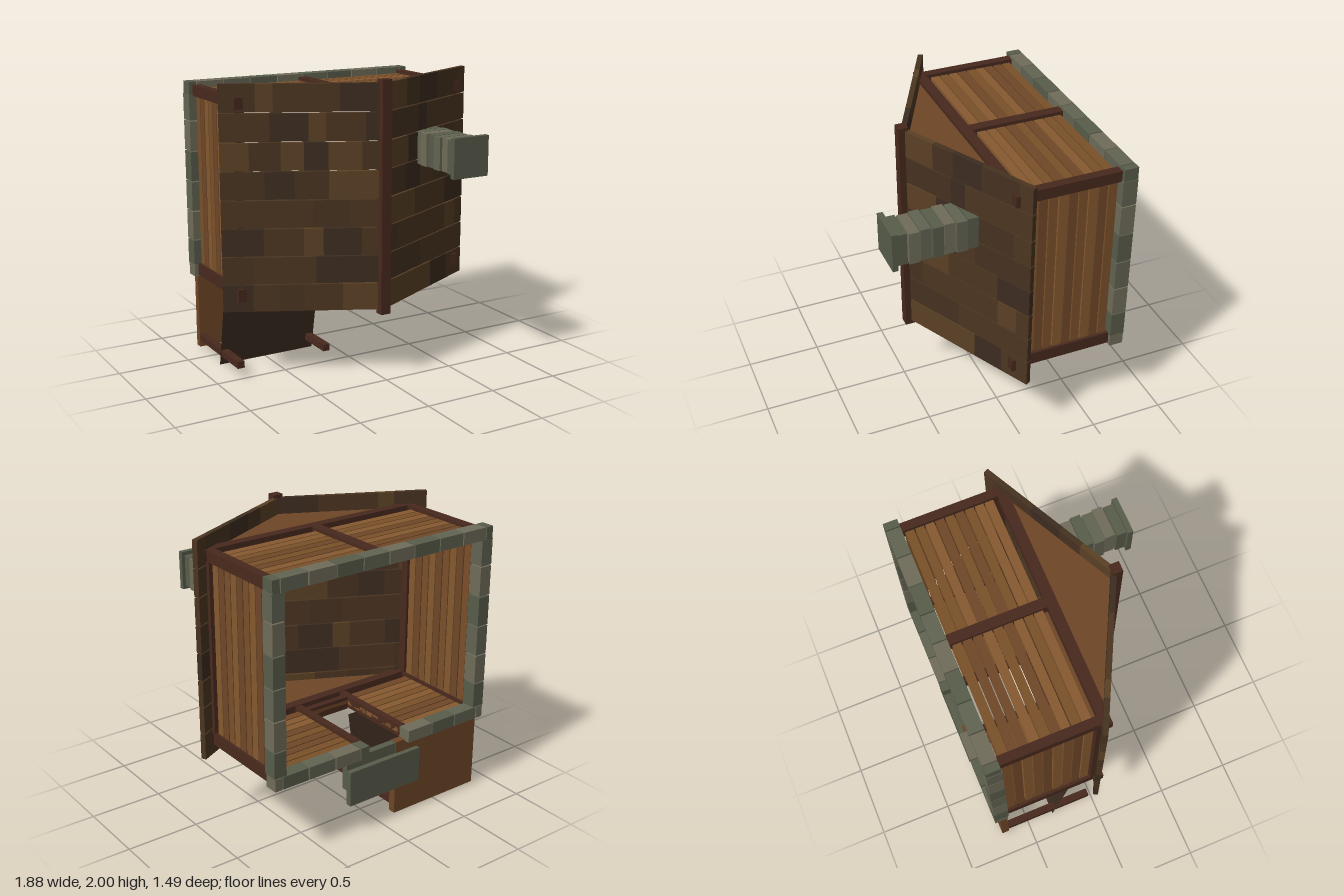
import * as THREE from 'three';

const BEAM = 0x48291d, FLOOR = 0x6e4626, DARK = 0x3c2b20;
const WOOD = [0x85592f, 0x6f4727, 0x7a5029];
const ROOF = [0x3c2c20, 0x4b3520, 0x5a4024, 0x463220];
const STONE = [0x585c4a, 0x6f6c59, 0x626452];

const mats = new Map();
function mat(color) {
  if (!mats.has(color)) mats.set(color, new THREE.MeshStandardMaterial({ color, flatShading: true }));
  return mats.get(color);
}

// Box given by its limits on each axis
function box(parent, name, color, x0, x1, y0, y1, z0, z1) {
  const mesh = new THREE.Mesh(new THREE.BoxGeometry(x1 - x0, y1 - y0, z1 - z0), mat(color));
  mesh.position.set((x0 + x1) / 2, (y0 + y1) / 2, (z0 + z1) / 2);
  mesh.name = name;
  parent.add(mesh);
  return mesh;
}

function group(parent, name) {
  const g = new THREE.Group();
  g.name = name;
  parent.add(g);
  return g;
}

function seeded(seed) {
  return () => (seed = (seed * 16807) % 2147483647) / 2147483647;
}

export function createModel() {
  const model = new THREE.Group();
  model.name = 'cabin';
  const rnd = seeded(4711);
  const pick = (list) => list[Math.floor(rnd() * list.length)];

  // Roof: two slopes of eight plank rows, each row made of short pieces
  const pitch = Math.atan(0.5), slopeLength = 1.051;
  for (const side of [1, -1]) {
    const slope = group(model, side > 0 ? 'leftRoof' : 'rightRoof');
    slope.position.z = 0.46;
    slope.rotation.y = side * pitch;
    for (let row = 0; row < 8; row++) {
      const y = 0.48 + row * 0.1875;
      let s = 0;
      while (s < slopeLength) {
        let e = s + 0.1 + rnd() * 0.2;
        if (e > slopeLength - 0.09) e = slopeLength;
        const [a, b] = side > 0 ? [s, e] : [-e, -s];
        box(slope, 'roofPlank', pick(ROOF), a, b, y + 0.004, y + 0.1835, -0.035, 0);
        s = e;
      }
    }
  }
  box(model, 'ridgeBeam', BEAM, -0.035, 0.035, 0.455, 2, 0.42, 0.485);

  // Timber frame: corner posts and eave beams
  const frame = group(model, 'timberFrame');
  for (const [y0, y1] of [[0.555, 0.64], [1.815, 1.89]]) {
    for (const x of [-0.81, 0.81]) box(frame, 'cornerPost', BEAM, x - 0.03, x + 0.03, y0, y1, -0.65, 0);
    box(frame, 'tieBeam', BEAM, -0.86, 0.86, y0, y1, -0.01, 0.06);
  }
  for (const x of [-0.81, 0.81]) box(frame, 'wallPlate', BEAM, x - 0.03, x + 0.03, 0.64, 1.815, -0.03, 0.03);
  box(frame, 'middlePost', BEAM, -0.035, 0.035, 1.815, 1.89, -0.65, 0);

  // Gable triangles
  for (const [name, y] of [['frontGable', 0.615], ['backGable', 1.865]]) {
    const shape = new THREE.Shape([
      new THREE.Vector2(-0.76, 0.04), new THREE.Vector2(0.76, 0.04), new THREE.Vector2(0, 0.42)]);
    const geo = new THREE.ExtrudeGeometry(shape, { depth: 0.03, bevelEnabled: false });
    geo.rotateX(Math.PI / 2);
    const gable = new THREE.Mesh(geo, mat(FLOOR));
    gable.position.y = y;
    gable.name = name;
    model.add(gable);
  }

  // Plank walls, with a door opening in the entrance wall
  const doorL = 0.13, doorR = -0.2, doorTop = -0.1;
  const walls = group(model, 'walls');
  for (let i = 0; i < 9; i++) {
    const z1 = -0.042 - i * 0.0667, z0 = z1 - 0.058;
    for (const x of [-0.805, 0.805])
      box(walls, 'sidePlank', WOOD[i % 3], x - 0.016, x + 0.016, 0.64, 1.815, z0, z1);
    for (const [a, b] of [[-0.78, -0.035], [0.035, 0.78]])
      box(walls, 'backPlank', pick(WOOD), a, b, 1.835, 1.867, z0, z1);
    const spans = z0 < doorTop - 0.01 ? [[-0.78, doorR], [doorL, 0.78]] : [[-0.78, 0.78]];
    for (const [a, b] of spans)
      box(walls, 'entrancePlank', pick(WOOD), a, b, 0.58, 0.612, z0, z1);
  }

  // Door frame
  const door = group(model, 'doorFrame');
  box(door, 'doorPost', BEAM, doorL, doorL + 0.05, 0.555, 0.635, -0.65, 0);
  box(door, 'doorPost', BEAM, doorR - 0.05, doorR, 0.555, 0.635, -0.65, 0);
  box(door, 'lintel', BEAM, doorR, doorL, 0.545, 0.635, doorTop, doorTop + 0.045);

  // Window with four panes and a box below it
  const win = group(model, 'window');
  const wx0 = 0.36, wx1 = 0.64, wz0 = -0.41, wz1 = -0.11, w = 0.035;
  box(win, 'glass', 0x8a7430, wx0 + 0.02, wx1 - 0.02, 0.545, 0.56, wz0 + 0.02, wz1 - 0.02);
  for (const x of [wx0, wx1 - w, 0.4875])
    box(win, 'windowUpright', BEAM, x, x + (x === 0.4875 ? 0.025 : w), 0.51, 0.58, wz0, wz1);
  for (const z of [wz0, wz1 - w, -0.2725])
    box(win, 'windowBar', BEAM, wx0, wx1, 0.512, 0.58, z, z + (z === -0.2725 ? 0.025 : w));
  box(win, 'windowBox', WOOD[0], 0.335, 0.67, 0.44, 0.58, -0.45, -0.42);

  // Stone footing around the open underside
  const footing = group(model, 'stoneFooting');
  const xCuts = [-0.87, -0.81, -0.61, -0.41, -0.2, 0, 0.2, 0.4, 0.61, 0.81, 0.87];
  const yCuts = [0.63, 0.81, 1.015, 1.225, 1.435, 1.645, 1.83];
  for (let i = 0; i < xCuts.length - 1; i++) {
    const a = xCuts[i] + 0.004, b = xCuts[i + 1] - 0.004;
    box(footing, 'backStone', STONE[i % 3], a, b, 1.825, 1.91, -0.745, -0.65);
    if (b <= doorR || a >= doorL)
      box(footing, 'entranceStone', STONE[(i + 1) % 3], a, b, 0.545, 0.63, -0.745, -0.65);
  }
  box(footing, 'entranceStone', STONE[0], doorL, 0.196, 0.545, 0.63, -0.745, -0.65);
  for (const side of [1, -1])
    for (let i = 0; i < yCuts.length - 1; i++) {
      const x = side * 0.825;
      box(footing, 'sideStone', STONE[i % 3], x - 0.045, x + 0.045,
        yCuts[i] + 0.004, yCuts[i + 1] - 0.004, -0.745, -0.645);
    }

  // Chimney of stacked slabs with a cap
  const chimney = group(model, 'chimney');
  for (let i = 0; i < 7; i++) {
    const z = 0.175 + i * 0.0775, shift = i % 2 ? 0.006 : -0.006;
    box(chimney, 'chimneySlab', STONE[(i * 2) % 3], 0.362 + shift, 0.584 + shift, 1.39, 1.61, z, z + 0.07);
  }
  box(chimney, 'chimneyCap', STONE[0], 0.335, 0.6, 1.37, 1.635, 0.708, 0.745);

  // Entrance steps
  box(model, 'upperStep', STONE[0], -0.3, 0.275, 0.33, 0.55, -0.7, -0.652);
  box(model, 'lowerStep', STONE[0], -0.31, 0.275, 0.23, 0.475, -0.738, -0.698);

  // Porch: floor, two posts and a thin sloping roof
  const porch = group(model, 'porch');
  box(porch, 'porchFloor', FLOOR, -0.845, -0.13, 0.02, 0.555, -0.705, -0.652);
  for (const x of [-0.815, -0.165])
    box(porch, 'porchPost', BEAM, x - 0.025, x + 0.025, 0.065, 0.112, -0.68, -0.025);
  const rise = 0.56, run = 0.11;
  const panel = new THREE.Mesh(new THREE.PlaneGeometry(0.715, Math.hypot(rise, run)),
    new THREE.MeshStandardMaterial({ color: DARK, flatShading: true, side: THREE.DoubleSide }));
  panel.position.set(-0.4875, rise / 2, -0.31 + run / 2);
  panel.rotation.x = Math.atan2(run, rise);
  panel.name = 'porchRoof';
  porch.add(panel);

  return model;
}
